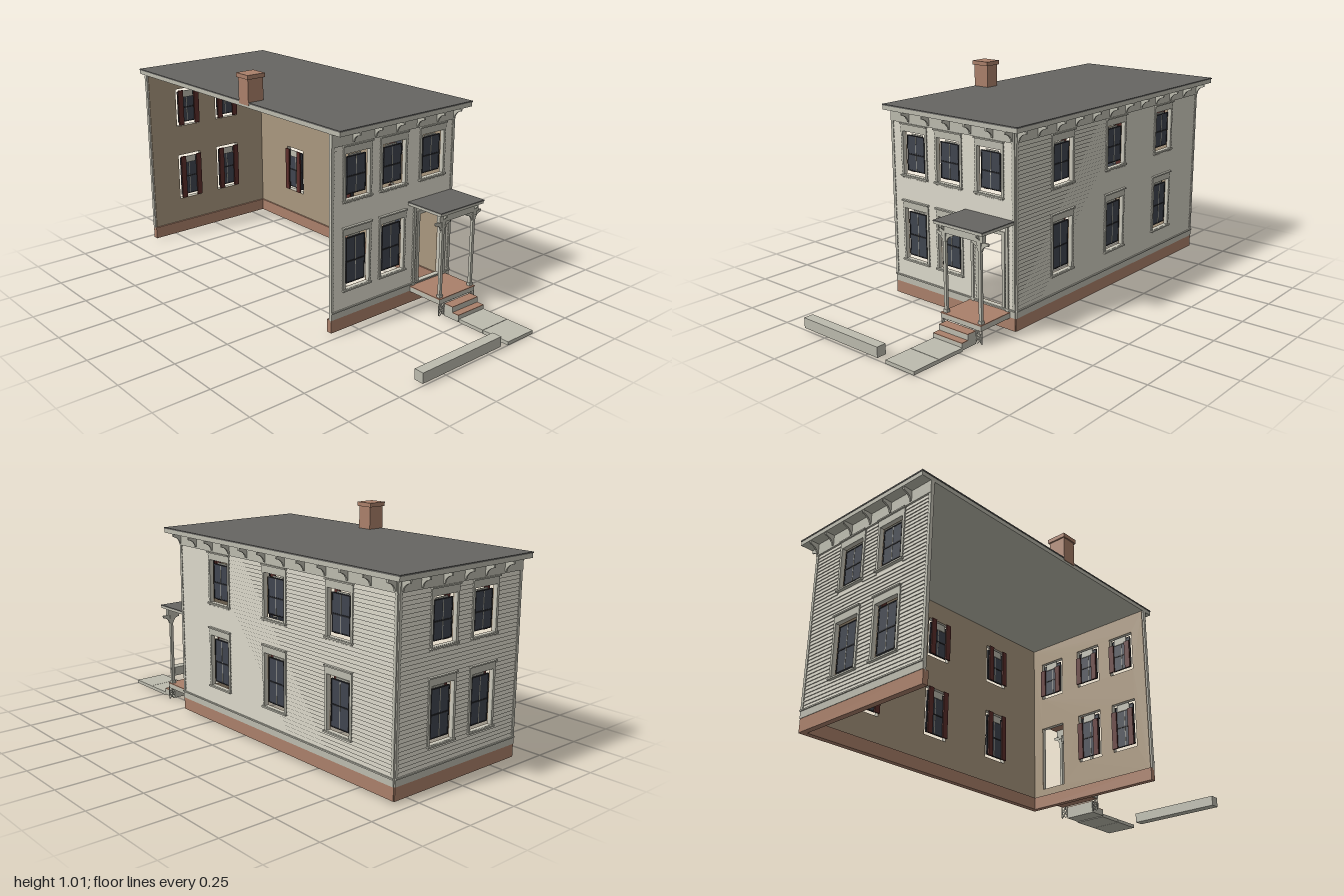
import * as THREE from 'three';
import { mergeGeometries } from 'three/addons/utils/BufferGeometryUtils.js';

const mat = (name, color) => {
  const m = new THREE.MeshStandardMaterial({ color });
  m.name = name;
  return m;
};

export function createModel() {
  const M = {
    siding: mat('siding cream', 0xcbc8bb),
    trim: mat('trim grey', 0xbcbbae),
    roof: mat('roof slate', 0x666562),
    plaster: mat('plaster tan', 0xa9977e),
    brick: mat('brick', 0xaa806a),
    glass: mat('glass', 0x40454f),
    shutter: mat('shutter red', 0x5c2e2a),
    sash: mat('sash black', 0x25262a),
  };
  const house = new THREE.Group();
  house.name = 'house';

  const add = (parent, name, geo, material) => {
    const mesh = new THREE.Mesh(geo, material);
    mesh.name = name;
    parent.add(mesh);
    return mesh;
  };
  // box geometry from its limits
  const boxGeo = (x0, x1, y0, y1, z0, z1) =>
    new THREE.BoxGeometry(x1 - x0, y1 - y0, z1 - z0).translate((x0 + x1) / 2, (y0 + y1) / 2, (z0 + z1) / 2);
  const box = (parent, name, material, ...limits) => add(parent, name, boxGeo(...limits), material);

  const rect = (C, x0, x1, y0, y1) => {
    const s = new C();
    s.moveTo(x0, y0).lineTo(x1, y0).lineTo(x1, y1).lineTo(x0, y1).closePath();
    return s;
  };
  // plate with rectangular holes, lying between depths w0 and w1
  const plate = (x0, x1, y0, y1, holes, w0, w1) => {
    const s = rect(THREE.Shape, x0, x1, y0, y1);
    holes.forEach(h => s.holes.push(rect(THREE.Path, h[0], h[1], h[2], h[3])));
    return new THREE.ExtrudeGeometry(s, { depth: w1 - w0, bevelEnabled: false }).translate(0, 0, w0);
  };
  // curved bracket: profile in (out, up) below its top, extruded sideways
  const bracketGeo = (out, drop, width) => {
    const s = new THREE.Shape();
    s.moveTo(0, 0).lineTo(0, -drop).lineTo(out * 0.25, -drop);
    s.quadraticCurveTo(out * 0.35, -drop * 0.4, out, -drop * 0.28);
    s.lineTo(out, 0).closePath();
    return new THREE.ExtrudeGeometry(s, { depth: width, bevelEnabled: false, curveSegments: 6 })
      .translate(0, 0, -width / 2);
  };

  // sloped boards, interrupted at the casings
  const clapboards = (u0, u1, gaps) => {
    const list = [], rows = 43, y0 = 0.104, h = (0.812 - y0) / rows;
    for (let i = 0; i < rows; i++) {
      const a = y0 + i * h, b = a + h;
      const cuts = gaps.filter(g => g[2] < b - 0.002 && g[3] > a + 0.002).sort((p, q) => p[0] - q[0]);
      let start = u0;
      [...cuts, [u1, u1]].forEach(c => {
        if (c[0] - start > 0.002) {
          const g = boxGeo(start, c[0], a, b, -0.001, 0.005);
          const p = g.attributes.position;
          for (let k = 0; k < p.count; k++) if (p.getY(k) > a + h / 2 && p.getZ(k) > 0) p.setZ(k, 0.001);
          g.computeVertexNormals();
          list.push(g);
        }
        start = Math.max(start, c[1]);
      });
    }
    return mergeGeometries(list);
  };

  // window centred at u, opening from y0 to y1
  const windowUnit = (wall, u, y0, y1, shutterDrop) => {
    const g = new THREE.Group();
    g.name = 'window';
    g.position.x = u;
    wall.add(g);
    const o = 0.066, s = 0.052, b = y0 + 0.018, t = y1 - 0.017, mid = (b + t) / 2 - 0.005;
    add(g, 'casing', plate(-0.078, 0.078, y0 - 0.004, y1 + 0.033, [[-o, o, y0, y1]], 0, 0.008), M.trim);
    box(g, 'sill', M.trim, -0.08, 0.08, y0 - 0.008, y0 - 0.001, 0, 0.015);
    box(g, 'cap', M.trim, -0.08, 0.08, y1 + 0.031, y1 + 0.037, 0, 0.015);
    box(g, 'glass', M.glass, -s, s, b, t, -0.009, -0.005);
    add(g, 'sashFrame', plate(-s, s, b, t, [[-s + 0.004, s - 0.004, b + 0.004, t - 0.004]], -0.011, -0.003), M.sash);
    box(g, 'meetingRail', M.sash, -s, s, mid - 0.003, mid + 0.003, -0.0115, -0.0025);
    box(g, 'muntin', M.trim, -0.0015, 0.0015, b + 0.004, t - 0.004, -0.0105, -0.0035);
    box(g, 'blind', M.trim, -0.034, 0.034, y1 - 0.046, y1 - 0.012, -0.018, -0.014);
    [-1, 1].forEach(k => {
      const c = k * 0.046;
      box(g, 'shutter', M.shutter, c - 0.014, c + 0.014, y0 + 0.008, y1 - shutterDrop, -0.032, -0.025);
    });
  };

  // one wall in its own frame: u along, y up, w outward
  const buildWall = (name, x, z, turn, u0, u1, o) => {
    const w = new THREE.Group();
    w.name = name;
    w.position.set(x, 0, z);
    w.rotation.y = turn;
    house.add(w);
    const units = [];
    o.upper.forEach(u => units.push([u, 0.582, 0.777]));
    o.lower.forEach(u => units.push([u, 0.19, 0.428]));
    const holes = units.map(([u, a, b]) => [u - 0.066, u + 0.066, a, b]);
    const gaps = units.map(([u, a, b]) => [u - 0.077, u + 0.077, a - 0.005, b + 0.034]);
    if (o.door) {
      const [a, b, c, d] = o.door;
      holes.push(o.door);
      gaps.push([a - 0.014, b + 0.014, c, d + 0.014]);
      const frame = [[a - 0.015, a, c, d], [b, b + 0.015, c, d], [a - 0.015, b + 0.015, d, d + 0.015]];
      add(w, 'doorCasing', mergeGeometries(frame.map(f => boxGeo(...f, 0, 0.008))), M.trim);
    }
    add(w, 'wallOuter', plate(u0, u1, 0.06, 0.87, holes, -0.01, 0), M.siding);
    add(w, 'wallLining', plate(u0 + 0.008, u1 - 0.008, 0.06, 0.87, holes, -0.014, -0.01), M.plaster);
    add(w, 'clapboards', clapboards(u0, u1, gaps), M.siding);
    box(w, 'foundation', M.brick, u0, u1, 0.01, 0.068, -0.022, 0.004);
    box(w, 'waterTable', M.trim, u0, u1, 0.068, 0.098, 0, 0.006);
    box(w, 'waterTableLedge', M.trim, u0, u1, 0.098, 0.104, 0, 0.011);
    box(w, 'frieze', M.trim, u0, u1, 0.814, 0.869, 0, 0.008);
    [u0, u1 - 0.014].forEach(u => box(w, 'cornerBoard', M.trim, u, u + 0.014, 0.104, 0.814, 0, 0.006));
    units.forEach(([u, a, b]) => windowUnit(w, u, a, b, o.drop));
    o.brackets.forEach(u => {
      const m = add(w, 'eaveBracket', bracketGeo(0.05, 0.048, 0.008), M.trim);
      m.position.set(u, 0.869, 0);
      m.rotation.y = -Math.PI / 2;
    });
  };

  const sideBrackets = [-0.265, -0.145, -0.024, 0.097, 0.217, 0.32];
  buildWall('entranceWall', 0.465, 0, Math.PI / 2, -0.378, 0.33, {
    upper: [-0.238, -0.035, 0.195], lower: [-0.238, -0.035],
    door: [0.13, 0.262, 0.104, 0.42], drop: 0.048, brackets: sideBrackets,
  });
  buildWall('backWall', 0, -0.33, Math.PI, -0.465, 0.945, {
    upper: [-0.158, 0.235, 0.635], lower: [-0.158, 0.235, 0.635], drop: 0.006,
    brackets: Array.from({ length: 12 }, (_, i) => -0.455 + i * 0.1264),
  });
  buildWall('farWall', -0.945, 0, -Math.PI / 2, -0.33, 0.378, {
    upper: [-0.083, 0.154], lower: [-0.083, 0.154], drop: 0.006,
    brackets: sideBrackets.map(u => -u),
  });

  // roof and chimney
  box(house, 'eaves', M.trim, -0.998, 0.518, 0.869, 0.888, -0.383, 0.376);
  box(house, 'roof', M.roof, -1, 0.52, 0.888, 0.894, -0.385, 0.378);
  box(house, 'chimney', M.brick, -0.147, -0.077, 0.88, 0.998, 0.298, 0.379);
  box(house, 'chimneyCap', M.brick, -0.154, -0.07, 0.996, 1.015, 0.293, 0.385);

  // porch
  const porch = new THREE.Group();
  porch.name = 'porch';
  house.add(porch);
  box(porch, 'porchRoof', M.roof, 0.465, 0.662, 0.486, 0.491, -0.327, -0.057);
  box(porch, 'porchRoofEdge', M.trim, 0.465, 0.66, 0.475, 0.486, -0.325, -0.059);
  box(porch, 'porchCeiling', M.brick, 0.467, 0.655, 0.473, 0.475, -0.32, -0.064);
  box(porch, 'porchBeam', M.trim, 0.624, 0.643, 0.44, 0.475, -0.312, -0.072);
  [-0.097, -0.29].forEach(z => {
    box(porch, 'column', M.trim, 0.627, 0.64, 0.09, 0.44, z - 0.007, z + 0.007);
    box(porch, 'columnBase', M.trim, 0.624, 0.643, 0.09, 0.104, z - 0.01, z + 0.01);
    box(porch, 'columnCapital', M.trim, 0.624, 0.643, 0.425, 0.44, z - 0.01, z + 0.01);
    box(porch, 'pilaster', M.trim, 0.465, 0.475, 0.09, 0.475, z - 0.007, z + 0.007);
    // brackets to both sides and outward
    [Math.PI / 2, -Math.PI / 2, 0].forEach((turn, i) => {
      const m = add(porch, 'porchBracket', bracketGeo(i < 2 ? 0.045 : 0.025, 0.04, 0.008), M.trim);
      m.position.set(0.6335, i < 2 ? 0.441 : 0.475, z);
      m.rotation.y = turn;
    });
  });
  box(porch, 'porchDeckEdge', M.trim, 0.465, 0.65, 0.066, 0.087, -0.303, -0.08);
  box(porch, 'porchDeck', M.brick, 0.467, 0.652, 0.087, 0.091, -0.304, -0.079);
  box(porch, 'porchUnderside', M.brick, 0.467, 0.646, 0.063, 0.066, -0.3, -0.083);

  // lattice either side of the steps
  [-0.097, -0.289].forEach(z => {
    const bars = [];
    for (const tilt of [-1, 1]) for (let i = 0; i < 4; i++) {
      const d = (i - 1.5) * 0.012;
      bars.push(new THREE.BoxGeometry(0.003, 0.036, 0.003).rotateX(tilt * Math.PI / 4)
        .translate(0.646, 0.038 + d, z + (i % 2 ? 0.003 : -0.003)));
    }
    add(porch, 'lattice', mergeGeometries(bars), M.trim);
    [-0.016, 0.016].forEach(k => box(porch, 'latticePost', M.trim, 0.644, 0.648, 0.01, 0.066, z + k - 0.001, z + k + 0.001));
  });

  // steps with brick treads
  [[0.65, 0.697, 0.062], [0.697, 0.732, 0.036]].forEach(([a, b, top]) => {
    box(house, 'step', M.trim, a, b, 0.004, top - 0.003, -0.274, -0.113);
    box(house, 'stepTread', M.brick, a, b, top - 0.003, top, -0.274, -0.113);
  });

  // walk slabs and kerb stone
  [[0.732, 0.864], [0.866, 1]].forEach(([a, b]) => box(house, 'walkSlab', M.trim, a, b, 0, 0.016, -0.276, -0.118));
  box(house, 'kerbStone', M.trim, 0.955, 1, 0.01, 0.056, -0.072, 0.378);

  return house;
}
